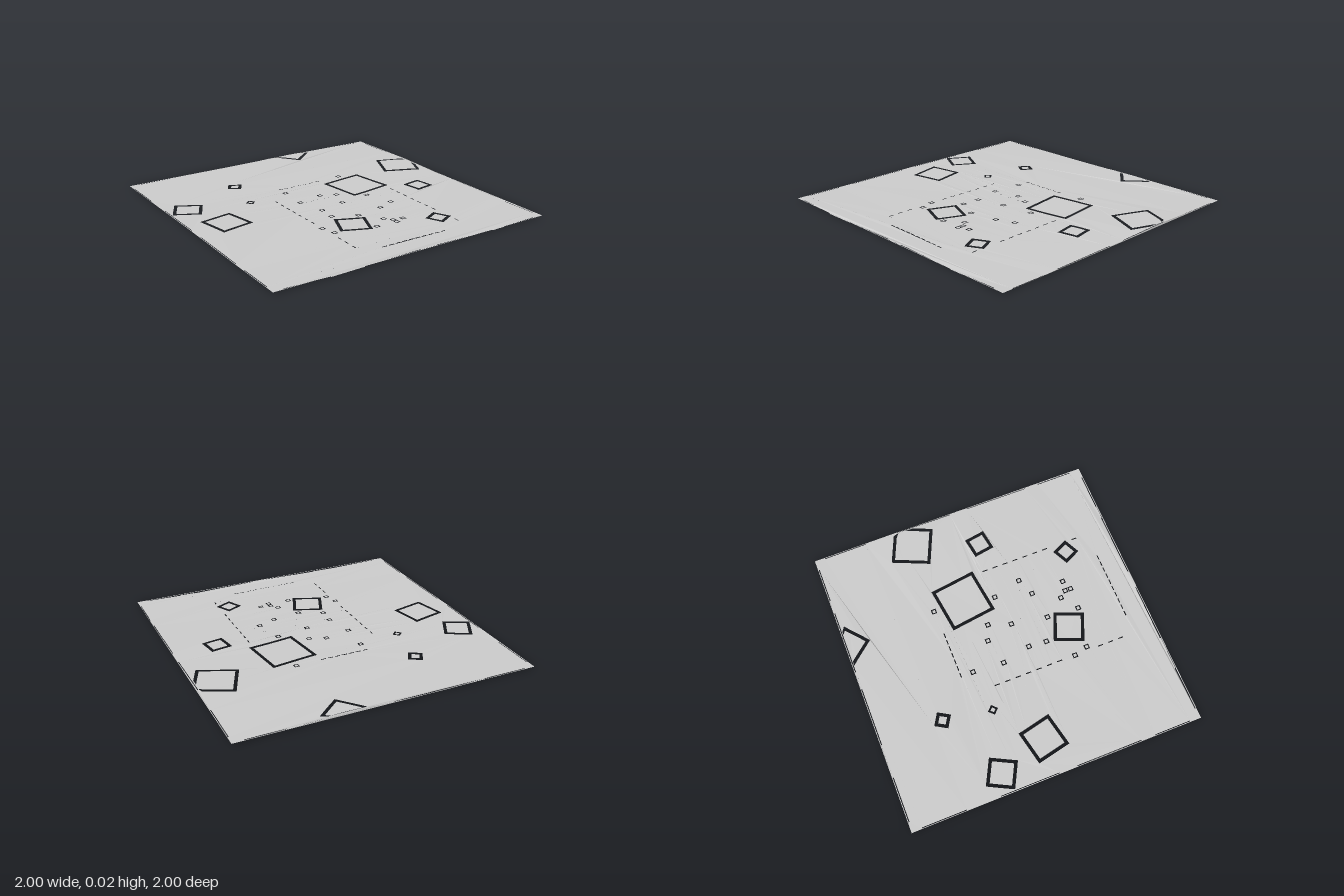
import * as THREE from 'three';

const LIMIT = 0.985;

// Plots: centre x, z and the offset from the centre to one corner
const PLOTS = [
  [-0.86, -0.34, -0.04, -0.126], [-0.395, -0.57, -0.016, -0.064],
  [-0.45, -0.24, 0, -0.035], [-0.75, -0.005, 0.09, -0.14],
  [0.343, -0.147, 0.137, -0.18], [0.86, -0.33, -0.07, -0.177],
  [0.70, 0.11, 0.06, -0.084], [-0.10, 0.45, -0.057, -0.135],
  [0.424, 0.652, 0.028, -0.083], [0.316, -0.975, -0.012, 0.145],
];

// Small square tiles: centre x, z
const TILES = [
  [0.34, -0.36], [-0.16, -0.268], [-0.175, -0.054], [0.008, -0.096], [0.115, -0.054],
  [0.062, 0.096], [0.287, 0.064], [-0.131, 0.145], [-0.14, 0.268], [0.34, 0.263],
  [0.217, 0.311], [0.019, 0.343], [-0.303, 0.408], [-0.276, 0.504], [0.115, 0.483],
  [0.223, 0.542], [0.003, 0.563], [0.153, 0.531], [0.153, 0.57],
];

// Gentle hills and dips: x, z, height, radius
const HILLS = [
  [0.3, -0.97, 0.011, 0.25], [0.9, -0.35, 0.01, 0.28], [-0.98, -0.1, 0.006, 0.3],
  [0.72, 0.1, 0.006, 0.2], [-0.4, -0.57, 0.003, 0.15], [-0.55, 1, -0.012, 0.2],
  [0.55, 1, -0.008, 0.25], [-0.3, -1, -0.007, 0.2], [1, 0.75, -0.006, 0.2],
];

function height(x, z) {
  let y = 0.0125 + 0.0015 * Math.sin(9 * x + 2) * Math.cos(8 * z);
  for (const [hx, hz, h, r] of HILLS) {
    y += h * Math.exp(-((x - hx) ** 2 + (z - hz) ** 2) / (r * r));
  }
  return Math.max(0, y);
}

// Square outline from a centre and corner offset, kept inside the border
function square([cx, cz, dx, dz], scale, steps = 4) {
  const corners = [[dx, dz], [-dz, dx], [-dx, -dz], [dz, -dx]];
  const points = [];
  corners.forEach(([ax, az], i) => {
    const [bx, bz] = corners[(i + 1) % 4];
    for (let s = 0; s < steps; s++) {
      const t = s / steps;
      points.push(new THREE.Vector2(
        THREE.MathUtils.clamp(cx + scale * (ax + (bx - ax) * t), -LIMIT, LIMIT),
        -THREE.MathUtils.clamp(cz + scale * (az + (bz - az) * t), -LIMIT, LIMIT)));
    }
  });
  return points;
}

function rectangle(x, z, w, d) {
  return [[-1, -1], [1, -1], [1, 1], [-1, 1]].map(([a, b]) =>
    new THREE.Vector2(x + a * w / 2, -(z + b * d / 2)));
}

// Thin sheet draped over the hills
function sheet(name, outline, holes, material) {
  const shape = new THREE.Shape(outline);
  shape.holes = holes.map((h) => new THREE.Path(h));
  const geometry = new THREE.ShapeGeometry(shape);
  geometry.rotateX(-Math.PI / 2);
  const p = geometry.attributes.position;
  for (let i = 0; i < p.count; i++) p.setY(i, height(p.getX(i), p.getZ(i)));
  geometry.computeVertexNormals();
  const mesh = new THREE.Mesh(geometry, material);
  mesh.name = name;
  return mesh;
}

export function createModel() {
  const group = new THREE.Group();
  group.name = 'terrain';
  const material = new THREE.MeshStandardMaterial({
    color: 0xcccccc, side: THREE.DoubleSide, flatShading: true,
  });
  const holes = [];

  // Plots, each separated from the ground by an open strip
  for (const plot of PLOTS) {
    const half = Math.hypot(plot[2], plot[3]) / Math.SQRT2;
    const gap = Math.min(0.022, half * 0.5);
    holes.push(square(plot, 1));
    group.add(sheet('plot', square(plot, 1 - gap / half), [], material));
  }

  // Small tiles with narrow open rings
  for (const [x, z] of TILES) {
    holes.push(rectangle(x, z, 0.034, 0.034));
    group.add(sheet('tile', rectangle(x, z, 0.02, 0.02), [], material));
  }

  // Dashed slots around the central yard
  const blocked = (x, z) =>
    PLOTS.some(([px, pz, dx, dz]) => Math.hypot(x - px, z - pz) < Math.hypot(dx, dz) + 0.025) ||
    TILES.some(([tx, tz]) => Math.hypot(x - tx, z - tz) < 0.045);
  const slot = (x, z, w, d) => { if (!blocked(x, z)) holes.push(rectangle(x, z, w, d)); };
  for (let i = 0; i < 10; i++) {
    for (const z of [-0.352, 0.843]) slot(-0.15 + i * 0.05, z, 0.034, 0.007);
  }
  for (let i = 0; i < 13; i++) {
    for (const x of [-0.301, 0.495]) slot(x, -0.15 + i * 0.0745, 0.007, 0.036);
  }

  // Fine slots along the rim
  for (const side of [-1, 1]) {
    for (const [centre, length] of [[-0.78, 0.3], [-0.2, 0.4], [0.35, 0.45], [0.8, 0.25]]) {
      holes.push(rectangle(centre, side * 0.992, length, 0.006));
      holes.push(rectangle(side * 0.993, centre, 0.005, length));
    }
  }

  // Ground with a subdivided border so that its edge follows the hills
  const border = [];
  const n = 20;
  for (const [x, z, dx, dz] of [[-1, -1, 1, 0], [1, -1, 0, 1], [1, 1, -1, 0], [-1, 1, 0, -1]]) {
    for (let i = 0; i < n; i++) {
      border.push(new THREE.Vector2(x + dx * 2 * i / n, -(z + dz * 2 * i / n)));
    }
  }
  group.add(sheet('ground', border, holes, material));
  return group;
}
